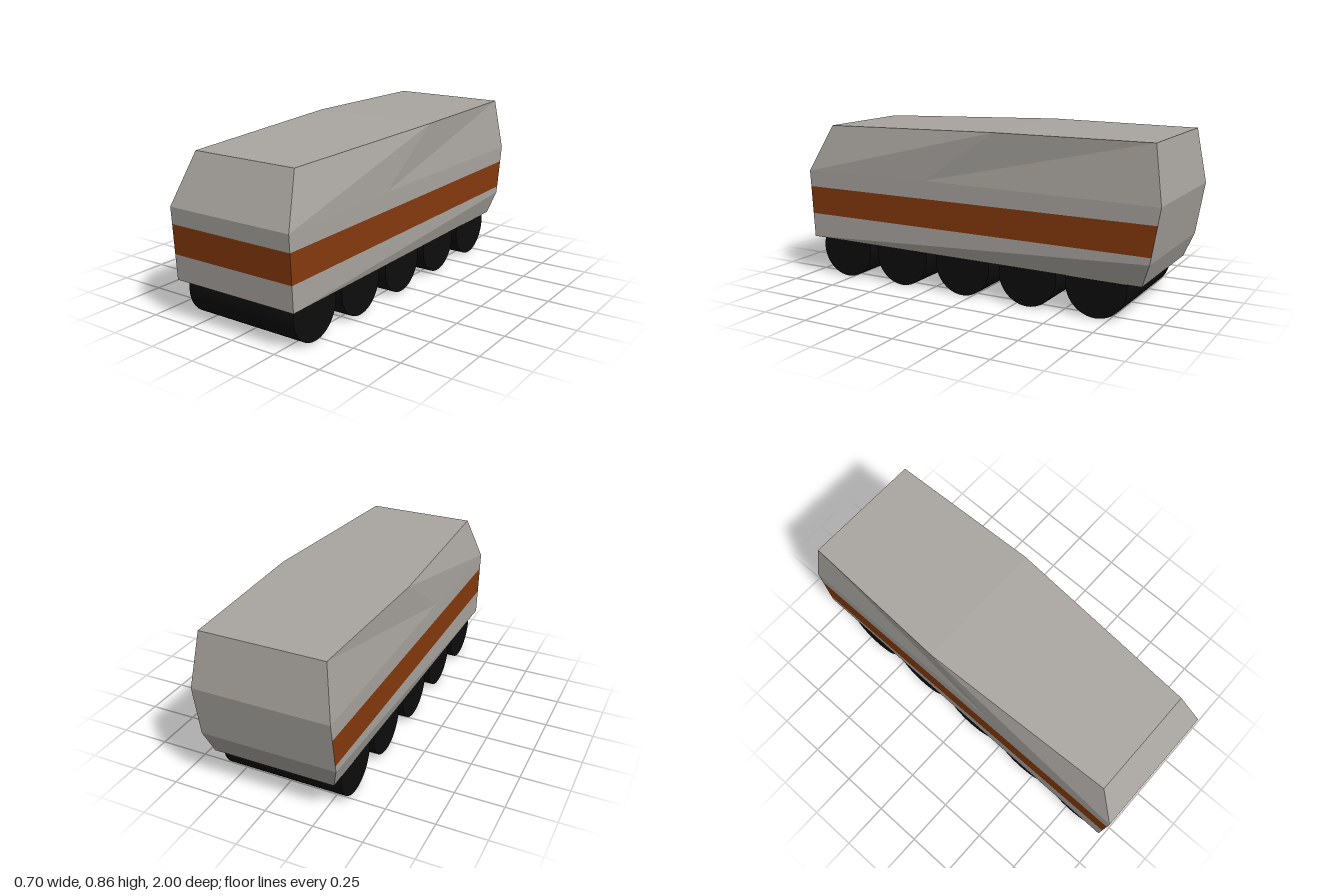
import * as THREE from 'three';

export function createModel() {
  const model = new THREE.Group();
  const mat = (name, color) => {
    const m = new THREE.MeshStandardMaterial({ color });
    m.name = name;
    return m;
  };
  const hullGrey = mat('hull grey', 0xaaa6a1);
  const stripeRust = mat('stripe rust', 0x863a0d);
  const rollerBlack = mat('roller black', 0x0d0d0d);

  // Corners of the left half of the hull
  const P = {
    frontBottom: [0.35, 0.21, 0.98],
    frontStripeLow: [0.35, 0.34, 0.987],
    frontStripeHigh: [0.35, 0.49, 0.995],
    nose: [0.35, 0.575, 1],
    frontTop: [0.29, 0.825, 0.88],
    midTop: [0.347, 0.855, -0.15],
    midBelt: [0.35, 0.585, 0.25],
    backTop: [0.315, 0.855, -0.955],
    tail: [0.35, 0.575, -1],
    backStripeHigh: [0.35, 0.49, -0.986],
    backStripeLow: [0.35, 0.34, -0.961],
    backLow: [0.35, 0.305, -0.955],
    backBottom: [0.315, 0.187, -0.91],
  };
  const mirror = ([x, y, z]) => [-x, y, z];

  // Flat mesh from convex polygons, each filled as a fan
  function panels(name, material, polygons) {
    const pos = [];
    for (const poly of polygons)
      for (let i = 1; i < poly.length - 1; i++) pos.push(...poly[0], ...poly[i], ...poly[i + 1]);
    const g = new THREE.BufferGeometry();
    g.setAttribute('position', new THREE.Float32BufferAttribute(pos, 3));
    g.computeVertexNormals();
    const mesh = new THREE.Mesh(g, material);
    mesh.name = name;
    model.add(mesh);
  }
  // Band running across the full width between two corners
  const across = (a, b) => [mirror(P[a]), P[a], P[b], mirror(P[b])];
  // Side polygon and its mirrored twin
  const bothSides = (...keys) => {
    const poly = keys.map((k) => P[k]);
    return [poly, poly.map(mirror).reverse()];
  };

  panels('frontPanels', hullGrey, [
    across('frontBottom', 'frontStripeLow'),
    across('frontStripeHigh', 'nose'),
    across('nose', 'frontTop'),
  ]);
  panels('roof', hullGrey, [across('frontTop', 'midTop'), across('midTop', 'backTop')]);
  panels('backPanels', hullGrey, [
    across('backTop', 'tail'),
    across('tail', 'backLow'),
    across('backLow', 'backBottom'),
  ]);
  panels('underside', hullGrey, [across('backBottom', 'frontBottom')]);
  panels('upperSides', hullGrey, [
    ...bothSides('frontStripeHigh', 'backStripeHigh', 'tail', 'midBelt', 'nose'),
    ...bothSides('nose', 'midBelt', 'midTop'),
    ...bothSides('nose', 'midTop', 'frontTop'),
    ...bothSides('midBelt', 'backTop', 'midTop'),
    ...bothSides('midBelt', 'tail', 'backTop'),
  ]);
  panels('lowerSides', hullGrey, [
    ...bothSides('frontBottom', 'backLow', 'backStripeLow', 'frontStripeLow'),
    ...bothSides('frontBottom', 'backBottom', 'backLow'),
  ]);

  // Stripe wrapping the front and both sides
  panels('stripe', stripeRust, [
    across('frontStripeLow', 'frontStripeHigh'),
    ...bothSides('frontStripeLow', 'backStripeLow', 'backStripeHigh', 'frontStripeHigh'),
  ]);

  // Full-width wheel rollers
  const radius = 0.157;
  const rollerGeo = new THREE.CylinderGeometry(radius, radius, 0.632, 48).rotateZ(Math.PI / 2);
  [0.785, 0.425, 0.052, -0.32, -0.683].forEach((z, i) => {
    const roller = new THREE.Mesh(rollerGeo, rollerBlack);
    roller.name = `wheelRoller${i + 1}`;
    roller.position.set(0, radius, z);
    model.add(roller);
  });

  return model;
}
